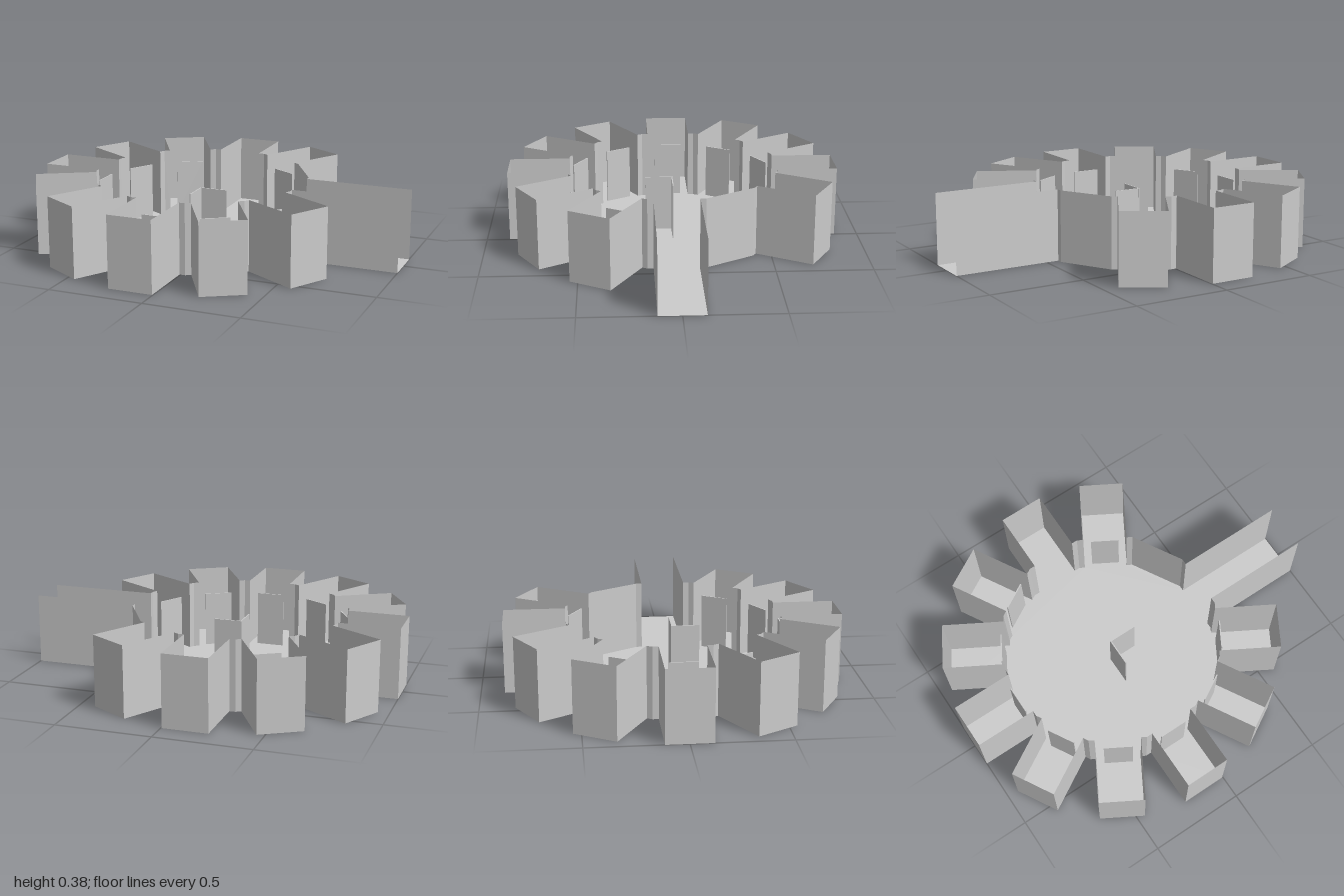
import * as THREE from 'three';

const CX = -0.1225;      // hub centre on x
const APOTHEM = 0.555;   // twelve-sided hall, centre to side
const HALF = 0.118;      // half width of an alcove
const REACH = 0.8775;    // centre to alcove end
const LONG = 1.1225;     // centre to corridor end
const HEIGHT = 0.375;
const PANEL = { width: 0.15, height: 0.3, depth: 0.006 };
const STEP = Math.PI / 6;
const SKIPPED = 1;       // side without an alcove

const material = new THREE.MeshStandardMaterial({ color: 0xcccccc, side: THREE.DoubleSide, flatShading: true });

// Plan point: distance along a side's direction, then sideways from it (plan y = -z)
function planPoint(angle, along, across) {
  return new THREE.Vector2(
    CX + along * Math.cos(angle) - across * Math.sin(angle),
    along * Math.sin(angle) + across * Math.cos(angle)
  );
}

// Outline starts at the corridor's open end and runs round to it again
function buildOutline() {
  const points = [planPoint(0, LONG, HALF), planPoint(0, APOTHEM, HALF)];
  const corner = APOTHEM * Math.tan(STEP / 2);
  for (let i = 1; i < 12; i++) {
    const a = i * STEP;
    points.push(planPoint(a, APOTHEM, -corner));
    if (i === SKIPPED) continue;
    points.push(
      planPoint(a, APOTHEM, -HALF), planPoint(a, REACH, -HALF),
      planPoint(a, REACH, HALF), planPoint(a, APOTHEM, HALF)
    );
  }
  points.push(planPoint(0, APOTHEM, -corner), planPoint(0, APOTHEM, -HALF), planPoint(0, LONG, -HALF));
  return points;
}

// Thin upright walls along an open line
function wallGeometry(points) {
  const pos = [];
  for (let i = 0; i < points.length - 1; i++) {
    const a = points[i], b = points[i + 1];
    pos.push(a.x, 0, -a.y, b.x, HEIGHT, -b.y, b.x, 0, -b.y);
    pos.push(a.x, 0, -a.y, a.x, HEIGHT, -a.y, b.x, HEIGHT, -b.y);
  }
  const g = new THREE.BufferGeometry();
  g.setAttribute('position', new THREE.Float32BufferAttribute(pos, 3));
  g.computeVertexNormals();
  return g;
}

export function createModel() {
  const group = new THREE.Group();
  const add = (name, geometry) => {
    const mesh = new THREE.Mesh(geometry, material);
    mesh.name = name;
    group.add(mesh);
    return mesh;
  };

  const outline = buildOutline();
  add('floor', new THREE.ShapeGeometry(new THREE.Shape(outline)).rotateX(-Math.PI / 2));
  add('outerWalls', wallGeometry(outline));

  // Free-standing panels at the alcove mouths
  const panel = new THREE.BoxGeometry(PANEL.depth, PANEL.height, PANEL.width);
  for (const i of [2, 4, 5, 6, 7, 8, 9, 10, 11]) {
    const p = planPoint(i * STEP, 0.578, 0);
    const mesh = add('alcovePanel', panel);
    mesh.position.set(p.x, PANEL.height / 2, -p.y);
    mesh.rotation.y = i * STEP;
  }

  // Two panels meeting at a right angle in the middle
  add('centrePanelSide', panel).position.set(CX - 0.003, PANEL.height / 2, 0.07);
  const back = add('centrePanelBack', panel);
  back.position.set(CX + 0.07, PANEL.height / 2, 0);
  back.rotation.y = Math.PI / 2;

  return group;
}
